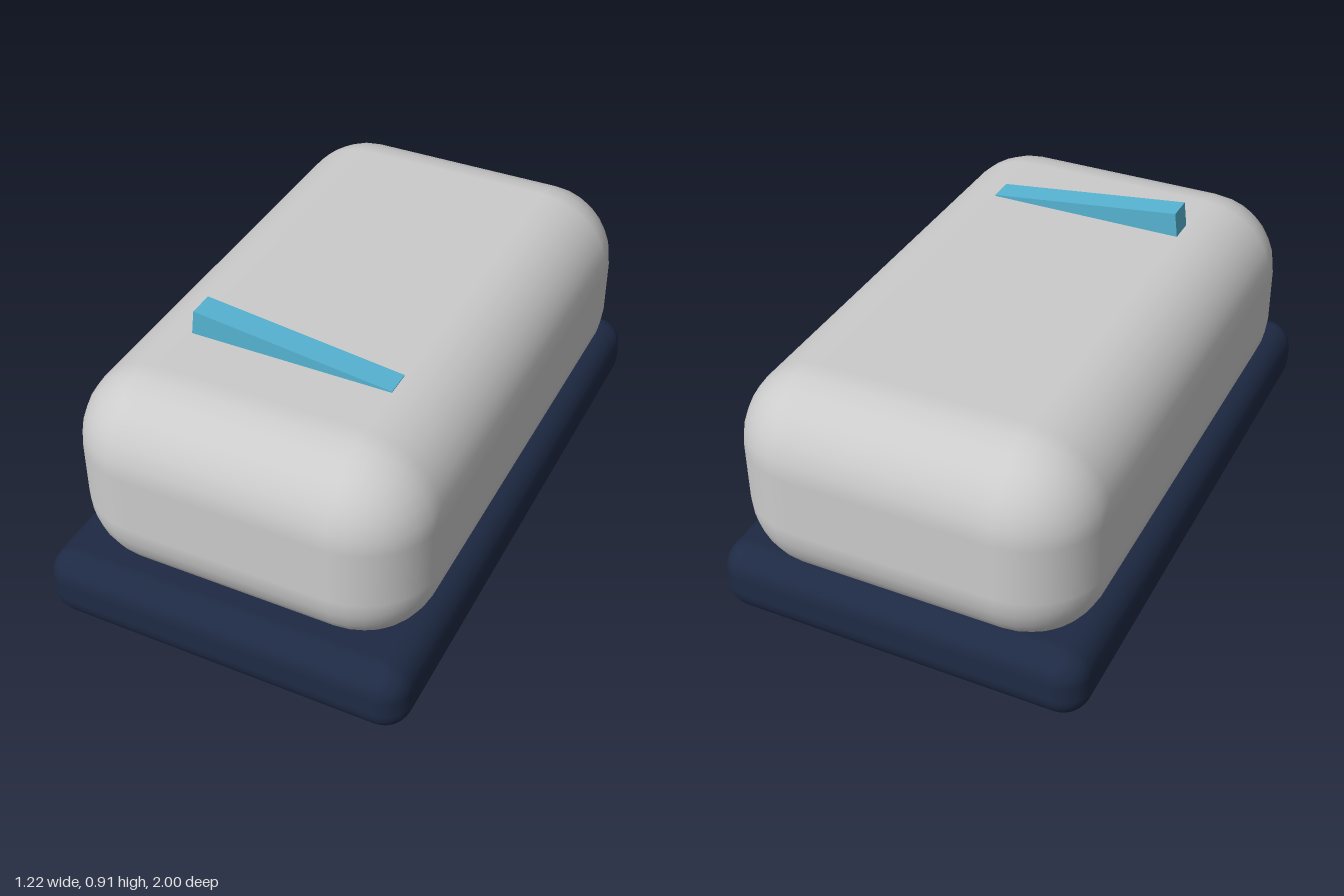
import * as THREE from 'three';
import { RoundedBoxGeometry } from 'three/addons/geometries/RoundedBoxGeometry.js';

function addPart(group, name, geometry, color, x, y, z) {
  const mesh = new THREE.Mesh(geometry, new THREE.MeshStandardMaterial({ color }));
  mesh.name = name;
  mesh.position.set(x, y, z);
  group.add(mesh);
  return mesh;
}

export function createModel() {
  const model = new THREE.Group();
  model.name = 'roundedBlockOnBase';

  // Dark slab with softly rounded edges
  addPart(model, 'base', new RoundedBoxGeometry(1.216, 0.236, 2, 4, 0.09), 0x1e2a44, 0, 0.118, 0);

  // Pillowy body, sunk into the base and set slightly back
  addPart(model, 'body', new RoundedBoxGeometry(1.16, 0.69, 1.89, 4, 0.25), 0xcccccc, 0, 0.485, -0.035);

  // Tilted bar, half buried in the top of the body
  const bar = addPart(model, 'topBar', new THREE.BoxGeometry(0.655, 0.087, 0.087), 0x56b4d3, 0, 0.83, 0.435);
  bar.rotation.z = -0.12;

  return model;
}
